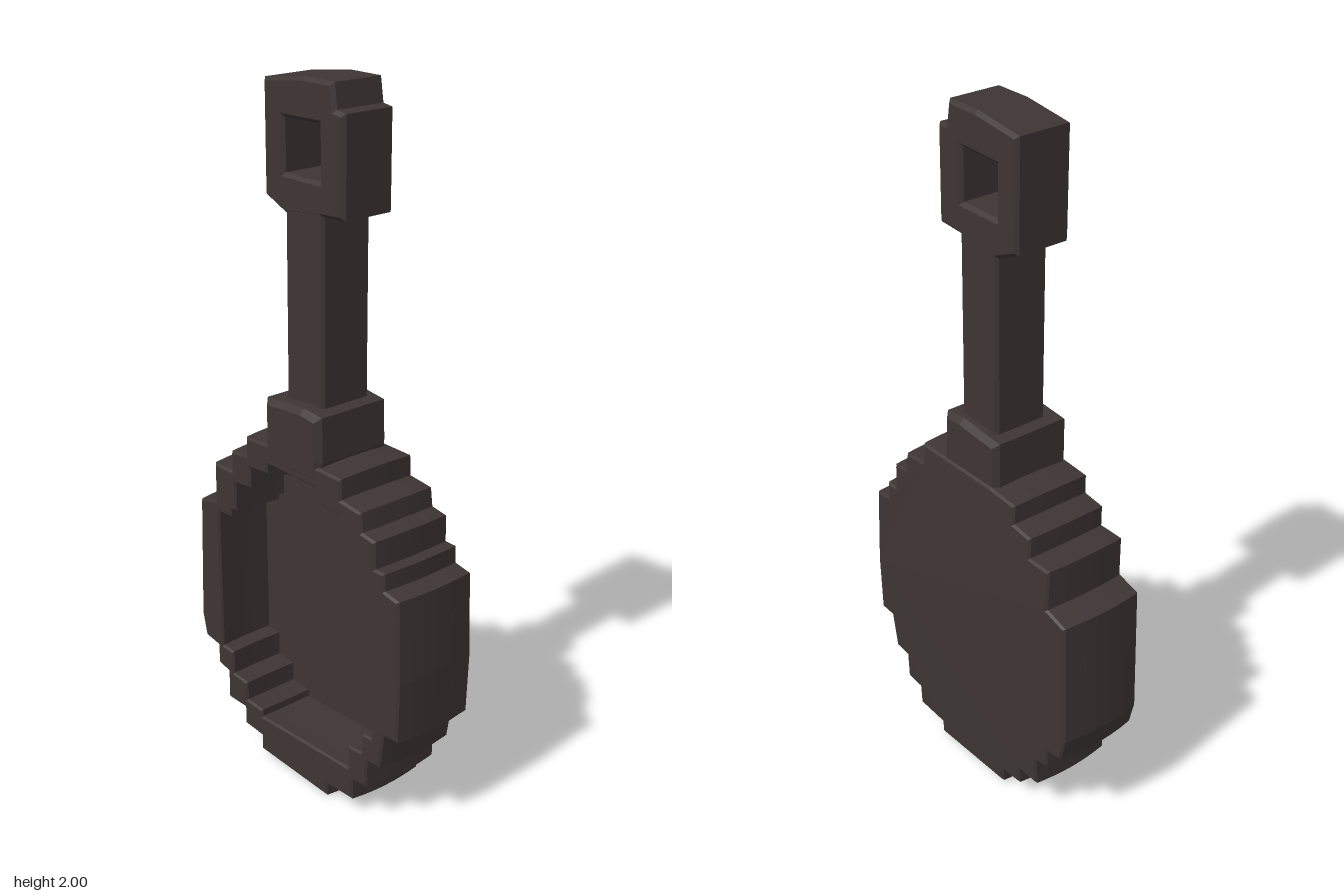
import * as THREE from 'three';

function polygon(points, Type = THREE.Shape) {
  return new Type(points.map(([x, y]) => new THREE.Vector2(x, y)));
}

// Extrude an outline between two depths, with worn edges
function slab(outline, z0, z1, bevel, { hole, steps = 1 } = {}) {
  const shape = polygon(outline);
  if (hole) shape.holes.push(polygon(hole, THREE.Path));
  const geometry = new THREE.ExtrudeGeometry(shape, {
    depth: z1 - z0 - 2 * bevel, bevelEnabled: true, bevelThickness: bevel,
    bevelSize: bevel, bevelOffset: -bevel, bevelSegments: 1, steps,
  });
  return geometry.translate(0, 0, z0 + bevel);
}

// Barrel the pan sides towards front and back, and swell the back at mid height
function barrel(geometry) {
  const position = geometry.attributes.position;
  for (let i = 0; i < position.count; i++) {
    const x = position.getX(i), y = position.getY(i), z = position.getZ(i);
    const d = (z / 0.13) ** 2;
    const t = (y - 0.52) / 0.52;
    const swell = z < -0.1 ? 0.014 * Math.max(0, 1 - t * t) : 0;
    position.setXYZ(i, x * (1 - 0.028 * d), 0.52 + (y - 0.52) * (1 - 0.012 * d), z - swell);
  }
  geometry.computeVertexNormals();
  return geometry;
}

export function createModel() {
  const iron = new THREE.MeshStandardMaterial({ color: 0x3d3534 });
  iron.name = 'dark iron';
  const group = new THREE.Group();
  group.name = 'fryingPan';
  const add = (name, geometry) => {
    const mesh = new THREE.Mesh(geometry, iron);
    mesh.name = name;
    group.add(mesh);
  };

  // Stepped pan outline, counter-clockwise from the bottom left
  const outer = [
    [-0.155, 0.01], [0.145, 0], [0.145, 0.04], [0.255, 0.045], [0.255, 0.11],
    [0.315, 0.115], [0.315, 0.2], [0.368, 0.205], [0.384, 0.315], [0.436, 0.318],
    [0.441, 0.5], [0.433, 0.742], [0.378, 0.752], [0.378, 0.802], [0.34, 0.802],
    [0.34, 0.88], [0.288, 0.888], [0.283, 0.943], [0.203, 0.952], [0.203, 1.012],
    [-0.1, 1.015], [-0.203, 1.008], [-0.203, 0.952], [-0.273, 0.943], [-0.273, 0.882],
    [-0.354, 0.882], [-0.354, 0.762], [-0.428, 0.742], [-0.441, 0.36], [-0.423, 0.287],
    [-0.363, 0.278], [-0.363, 0.218], [-0.315, 0.208], [-0.315, 0.118], [-0.235, 0.118],
    [-0.235, 0.062], [-0.155, 0.057],
  ];

  // Stepped inside edge of the rim
  const inner = [
    [-0.15, 0.125], [0.238, 0.142], [0.238, 0.215], [0.293, 0.22], [0.298, 0.282],
    [0.333, 0.285], [0.333, 0.71], [0.29, 0.715], [0.29, 0.785], [0.24, 0.795],
    [0.24, 0.85], [0.2, 0.857], [0.2, 0.908], [0.1, 0.915], [0.1, 0.955],
    [-0.11, 0.955], [-0.11, 0.925], [-0.187, 0.918], [-0.187, 0.855], [-0.257, 0.848],
    [-0.257, 0.76], [-0.282, 0.757], [-0.282, 0.733], [-0.341, 0.73], [-0.337, 0.288],
    [-0.288, 0.285], [-0.288, 0.212], [-0.222, 0.208], [-0.222, 0.15], [-0.15, 0.147],
  ];

  add('panBase', barrel(slab(outer, -0.12, -0.05, 0.006, { steps: 2 })));
  add('panRim', barrel(slab(outer, -0.07, 0.132, 0.006, { hole: inner, steps: 5 })));

  // Collar where the handle joins the rim
  add('handleCollar', slab([
    [-0.113, 0.955], [0.1, 0.96], [0.113, 1.02], [0.11, 1.146],
    [0.04, 1.154], [-0.113, 1.142],
  ], -0.115, 0.134, 0.016));

  add('handleShaft', slab(
    [[-0.075, 1.1], [0.072, 1.1], [0.072, 1.7], [-0.075, 1.7]], -0.081, 0.085, 0.01));

  // Square hanging loop with a notched corner
  add('hangingLoop', slab([
    [-0.155, 1.68], [-0.073, 1.645], [0.07, 1.662], [0.153, 1.667], [0.153, 1.93],
    [0.12, 1.935], [0.11, 2.0], [0, 2.0], [-0.156, 1.98],
  ], -0.083, 0.086, 0.01,
  { hole: [[-0.077, 1.75], [0.06, 1.75], [0.06, 1.893], [-0.077, 1.89]] }));

  return group;
}
